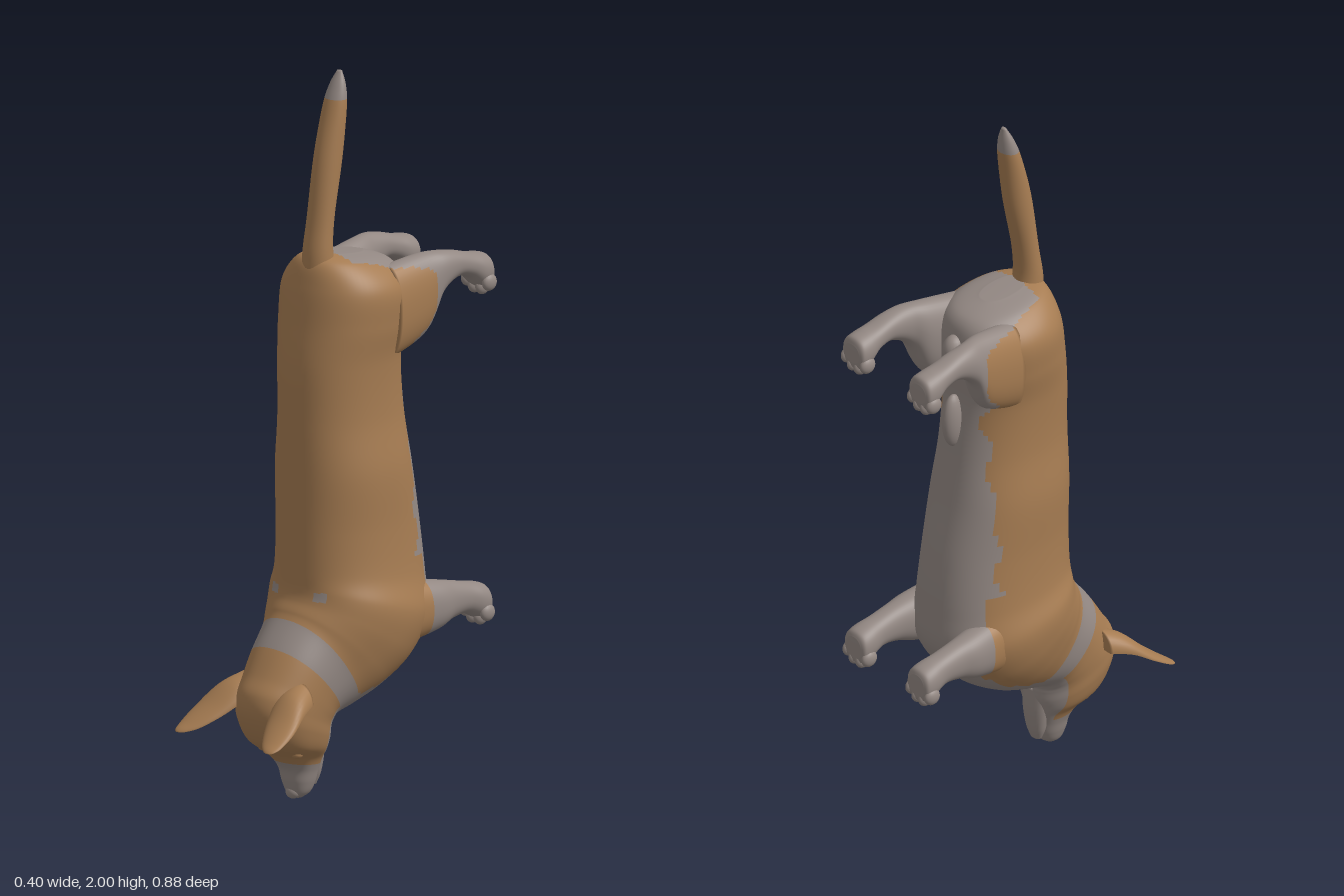
import * as THREE from 'three';

const tan = new THREE.MeshStandardMaterial({ color: 0xa67c52 });
tan.name = 'tanCoat';
const grey = new THREE.MeshStandardMaterial({ color: 0x938883 });
grey.name = 'greyCoat';

const power = (v, p) => Math.sign(v) * Math.abs(v) ** p;

function spline(p0, p1, p2, p3, t) {
  return p1.map((_, k) => {
    const a = p0[k], b = p1[k], c = p2[k], d = p3[k];
    return b + 0.5 * t * (c - a + t * (2 * a - 5 * b + 4 * c - d + t * (3 * (b - c) + d - a)));
  });
}

// Smooth closed loft. Each ring is [upper z, upper y, lower z, lower y, half width, centre x].
// paint(x, y, z, ring, cos) returns 0 for tan or 1 for grey; dent below zero hollows the lower side.
function loft(name, rings, paint, { sides = 32, sub = 6, p = 0.9, dent = 1 } = {}) {
  const last = rings.length - 1, rows = [];
  for (let i = 0; i < last; i++) {
    for (let k = 0; k < sub; k++) {
      rows.push([...spline(rings[Math.max(i - 1, 0)], rings[i], rings[i + 1],
        rings[Math.min(i + 2, last)], k / sub), i + k / sub]);
    }
  }
  rows.push([...rings[last], last]);
  // close both ends with collapsed rings
  const collapse = r => [(r[0] + r[2]) / 2, (r[1] + r[3]) / 2, (r[0] + r[2]) / 2, (r[1] + r[3]) / 2, 0, r[5], r[6]];
  rows.unshift(collapse(rows[0]));
  rows.push(collapse(rows[rows.length - 1]));

  const pos = [], faces = [[], []];
  for (const [az, ay, bz, by, w, x] of rows) {
    for (let j = 0; j < sides; j++) {
      const th = (j / sides) * Math.PI * 2;
      let c = power(Math.cos(th), p);
      if (c < 0) c *= dent;
      pos.push(x + w * power(Math.sin(th), p),
        (ay + by) / 2 + c * (ay - by) / 2, (az + bz) / 2 + c * (az - bz) / 2);
    }
  }
  for (let i = 0; i < rows.length - 1; i++) {
    for (let j = 0; j < sides; j++) {
      const j2 = (j + 1) % sides;
      const a = i * sides + j, b = i * sides + j2, c = a + sides, d = b + sides;
      const mid = k => (pos[a * 3 + k] + pos[b * 3 + k] + pos[c * 3 + k] + pos[d * 3 + k]) / 4;
      const cos = Math.cos(((j + 0.5) / sides) * Math.PI * 2);
      const ring = (rows[i][6] + rows[i + 1][6]) / 2;
      faces[paint(mid(0), mid(1), mid(2), ring, cos)].push(a, c, b, b, c, d);
    }
  }
  const g = new THREE.BufferGeometry();
  g.setAttribute('position', new THREE.Float32BufferAttribute(pos, 3));
  g.setIndex([...faces[0], ...faces[1]]);
  g.addGroup(0, faces[0].length, 0);
  g.addGroup(faces[0].length, faces[1].length, 1);
  g.computeVertexNormals();
  const m = new THREE.Mesh(g, [tan, grey]);
  m.name = name;
  return m;
}

function blob(name, mat, x, y, z, rx, ry, rz) {
  const m = new THREE.Mesh(new THREE.SphereGeometry(1, 20, 14), mat);
  m.name = name;
  m.position.set(x, y, z);
  m.scale.set(rx, ry, rz);
  return m;
}

// Coat pattern: tan back and sides, grey belly, inner thighs, chest
function coat(x, y, z) {
  const ax = Math.abs(x);
  if (y > 1.25) return z < -0.215 || (z < 0.03 && ax < 0.1 - 0.3 * z) ? 1 : 0;
  if (y > 0.65) return z < -0.158 + 0.012 * Math.sin(y * 42) ? 1 : 0;
  if (Math.abs(ax - 0.08) < 0.02 && Math.abs(y - 0.575) < 0.012 && z > 0.08) return 1;
  return z < -0.2 || (ax < 0.12 && z < 0.05 && y < 0.42) ? 1 : 0;
}

// Body coat plus neck band, throat and muzzle
function bodyCoat(x, y, z, ring, cos) {
  if (ring < 12) return coat(x, y, z);
  if (ring < 13) return 1;
  if (ring < 18.5) return cos < -0.55 ? 1 : 0;
  return 1;
}

const allGrey = () => 1;

export function createModel() {
  const dog = new THREE.Group();
  dog.name = 'dog';

  // Rump to nose in one sweep
  dog.add(loft('body', [
    [0.05, 1.505, -0.09, 1.49, 0.04, 0],
    [0.1, 1.49, -0.165, 1.46, 0.11, 0],
    [0.125, 1.42, -0.19, 1.4, 0.165, 0],
    [0.143, 1.32, -0.19, 1.3, 0.165, 0],
    [0.16, 1.2, -0.185, 1.2, 0.15, 0],
    [0.163, 1.05, -0.2, 1.05, 0.148, 0],
    [0.163, 0.9, -0.222, 0.9, 0.165, 0],
    [0.163, 0.75, -0.255, 0.73, 0.165, 0],
    [0.163, 0.64, -0.272, 0.58, 0.175, 0],
    [0.163, 0.59, -0.27, 0.46, 0.198, 0],
    [0.17, 0.56, -0.2, 0.35, 0.19, 0],
    [0.185, 0.535, -0.1, 0.28, 0.168, 0],
    [0.2, 0.51, 0, 0.24, 0.145, 0],
    [0.255, 0.44, 0.06, 0.225, 0.132, 0],
    [0.3, 0.37, 0.075, 0.21, 0.125, 0],
    [0.332, 0.32, 0.075, 0.195, 0.12, 0],
    [0.335, 0.26, 0.075, 0.17, 0.115, 0],
    [0.3, 0.185, 0.08, 0.145, 0.1, 0],
    [0.235, 0.135, 0.085, 0.115, 0.07, 0],
    [0.2, 0.095, 0.095, 0.085, 0.055, 0],
    [0.19, 0.055, 0.102, 0.05, 0.045, 0],
    [0.178, 0.022, 0.115, 0.022, 0.032, 0],
    [0.16, 0.006, 0.138, 0.006, 0.012, 0],
  ], bodyCoat, { sides: 64, sub: 10 }));

  // Lower jaw
  dog.add(loft('lowerJaw', [
    [0.13, 0.2, 0.075, 0.2, 0.05, 0],
    [0.13, 0.13, 0.072, 0.13, 0.045, 0],
    [0.12, 0.07, 0.078, 0.07, 0.033, 0],
    [0.11, 0.035, 0.088, 0.035, 0.018, 0],
  ], allGrey));

  // Tail, tip first
  dog.add(loft('tail', [
    [-0.01, 2, -0.02, 2, 0.008, 0],
    [0.012, 1.96, -0.026, 1.96, 0.026, 0],
    [0.035, 1.9, -0.025, 1.9, 0.036, 0],
    [0.07, 1.77, -0.008, 1.76, 0.039, 0],
    [0.095, 1.6, 0.025, 1.6, 0.04, 0],
    [0.11, 1.5, 0.03, 1.5, 0.045, 0],
    [0.11, 1.4, 0, 1.4, 0.05, 0],
  ], (x, y) => (y > 1.93 ? 1 : 0), { p: 1 }));

  // Belly details
  dog.add(blob('bellyRidge', grey, 0, 1.15, -0.195, 0.025, 0.08, 0.035));
  dog.add(blob('groin', grey, 0, 1.37, -0.19, 0.032, 0.045, 0.035));

  for (const s of [1, -1]) {
    const side = s > 0 ? 'left' : 'right';

    // Hind leg, paw first
    dog.add(loft(side + 'HindLeg', [
      [-0.437, 1.42, -0.437, 1.365, 0.03, 0.137 * s],
      [-0.428, 1.438, -0.43, 1.345, 0.044, 0.137 * s],
      [-0.4, 1.446, -0.4, 1.35, 0.046, 0.137 * s],
      [-0.365, 1.452, -0.36, 1.383, 0.04, 0.137 * s],
      [-0.31, 1.467, -0.31, 1.39, 0.038, 0.136 * s],
      [-0.26, 1.475, -0.25, 1.35, 0.042, 0.132 * s],
      [-0.2, 1.475, -0.2, 1.25, 0.053, 0.118 * s],
      [-0.08, 1.46, -0.08, 1.2, 0.06, 0.105 * s],
    ], coat, { sides: 48, sub: 8 }));

    // Front leg, paw first
    dog.add(loft(side + 'FrontLeg', [
      [-0.437, 0.5, -0.437, 0.435, 0.03, 0.13 * s],
      [-0.428, 0.515, -0.43, 0.42, 0.044, 0.13 * s],
      [-0.4, 0.525, -0.4, 0.425, 0.046, 0.13 * s],
      [-0.36, 0.533, -0.355, 0.445, 0.04, 0.13 * s],
      [-0.3, 0.547, -0.3, 0.44, 0.042, 0.13 * s],
      [-0.24, 0.56, -0.24, 0.42, 0.052, 0.128 * s],
      [-0.13, 0.58, -0.13, 0.4, 0.06, 0.115 * s],
    ], coat, { sides: 48, sub: 8 }));

    // Toes
    for (const [y, x] of [[1.35, 0.137], [0.428, 0.13]]) {
      [-0.039, -0.014, 0.014, 0.039].forEach((dx, i) => {
        const outer = i === 0 || i === 3;
        dog.add(blob(side + 'Toe', grey, x * s + dx, y + (outer ? 0.014 : 0), -0.415, 0.015, 0.024, 0.025));
      });
    }

    // Ear with hollow grey inside
    dog.add(loft(side + 'Ear', [
      [0.24, 0.36, 0.24, 0.25, 0.05, 0.095 * s],
      [0.3, 0.335, 0.3, 0.245, 0.057, 0.112 * s],
      [0.36, 0.28, 0.36, 0.23, 0.053, 0.135 * s],
      [0.41, 0.24, 0.41, 0.212, 0.037, 0.153 * s],
      [0.435, 0.222, 0.435, 0.208, 0.02, 0.163 * s],
      [0.443, 0.214, 0.443, 0.21, 0.006, 0.166 * s],
    ], (x, y, z, ring, cos) => (cos < -0.05 ? 1 : 0), { p: 1, dent: -0.4 }));

    // Eye
    dog.add(blob(side + 'Eye', tan, 0.062 * s, 0.15, 0.215, 0.016, 0.014, 0.018));
  }
  // Nose
  dog.add(blob('nose', grey, 0, 0.025, 0.168, 0.022, 0.02, 0.018));
  return dog;
}
